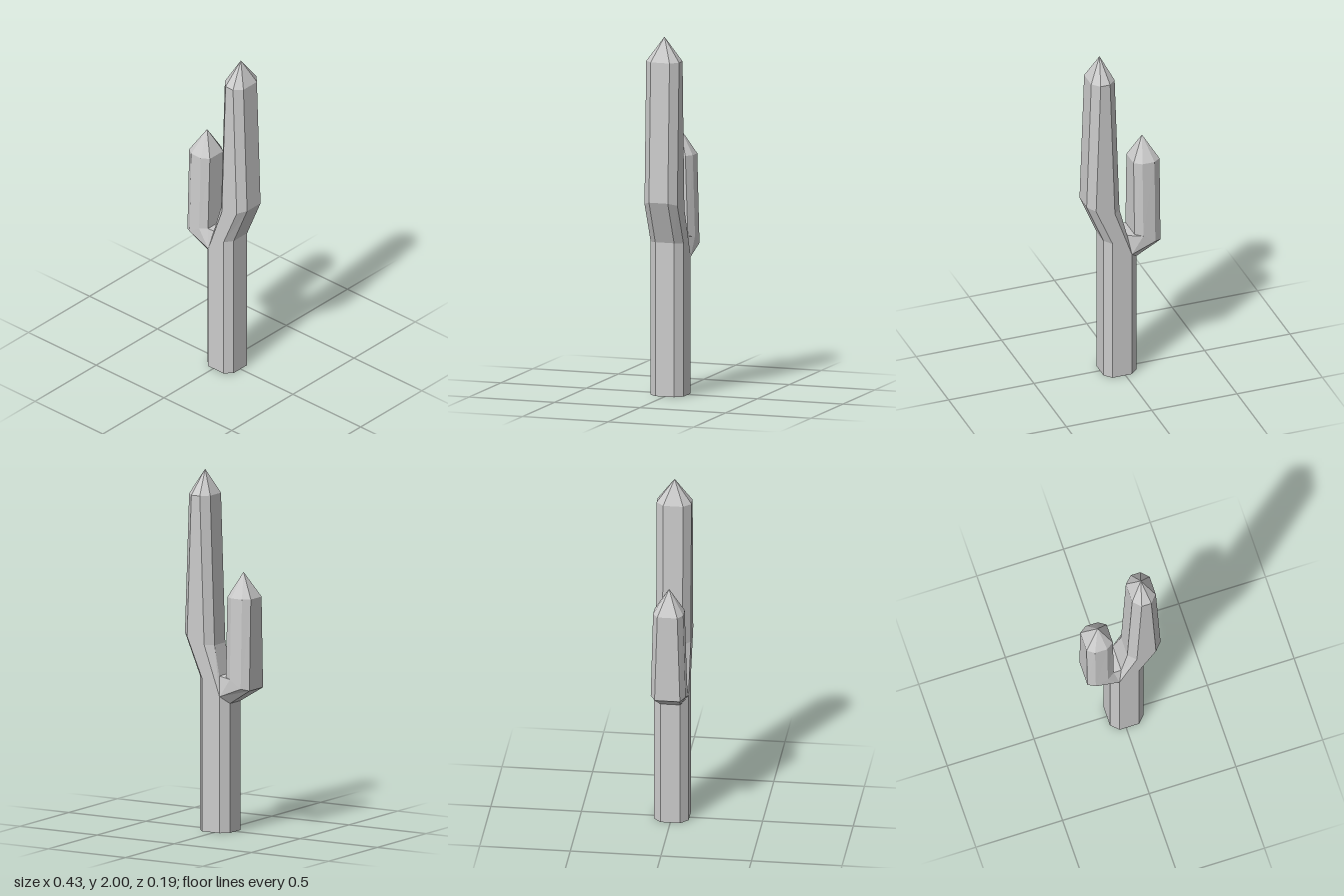
import * as THREE from 'three';

const material = new THREE.MeshStandardMaterial({
  color: 0xcccccc, flatShading: true, side: THREE.DoubleSide,
});

// Eight-sided ring from its four front corners (left to right), mirrored in z
function ring(corners) {
  const front = corners.map(([x, y, z]) => new THREE.Vector3(x, y, z));
  const back = corners.map(([x, y, z]) => new THREE.Vector3(x, y, -z)).reverse();
  return [...front, ...back];
}

// Skin over successive rings; an optional apex closes the top with a cone
function loft(name, rings, apex) {
  const loops = rings.map(ring);
  if (apex) loops.push(Array(8).fill(new THREE.Vector3(...apex)));
  const positions = [];
  const triangle = (a, b, c) => {
    if (new THREE.Triangle(a, b, c).getArea() < 1e-7) return;
    for (const p of [a, b, c]) positions.push(p.x, p.y, p.z);
  };
  for (let r = 0; r < loops.length - 1; r++) {
    const low = loops[r], high = loops[r + 1];
    for (let i = 0; i < 8; i++) {
      const j = (i + 1) % 8;
      triangle(low[i], low[j], high[j]);
      triangle(low[i], high[j], high[i]);
    }
  }
  const geometry = new THREE.BufferGeometry();
  geometry.setAttribute('position', new THREE.Float32BufferAttribute(positions, 3));
  geometry.computeVertexNormals();
  const mesh = new THREE.Mesh(geometry, material);
  mesh.name = name;
  return mesh;
}

export function createModel() {
  const cactus = new THREE.Group();
  cactus.name = 'cactus';

  // Corners shared where trunk, stem and arm meet
  const crotchLow = [-0.08, 0.72, 0.055];
  const crotchSide = [-0.038, 0.76, 0.096];
  const saddle = [-0.02, 0.87, 0.07];
  const shoulder = [[0.075, 0.85, 0.096], [0.113, 0.855, 0.055]];

  // Trunk, open underneath
  cactus.add(loft('trunk', [
    [[-0.08, 0, 0.055], [-0.038, 0, 0.096], [0.075, 0, 0.096], [0.113, 0, 0.055]],
    [crotchLow, crotchSide, ...shoulder],
  ]));

  // Tall stem leaning out, then tapering to a point
  cactus.add(loft('mainStem', [
    [saddle, crotchSide, ...shoulder],
    [[0.02, 1.035, 0.055], [0.062, 1.04, 0.096], [0.172, 1.075, 0.096], [0.212, 1.09, 0.055]],
    [[0.048, 1.865, 0.055], [0.09, 1.865, 0.096], [0.145, 1.865, 0.096], [0.185, 1.865, 0.055]],
  ], [0.116, 2, 0]));

  // Side arm with its elbow
  cactus.add(loft('sideArm', [
    [crotchLow, crotchSide, crotchSide, saddle],
    [[-0.215, 0.805, 0.07], [-0.175, 0.815, 0.096], [-0.105, 0.862, 0.096], [-0.063, 0.868, 0.07]],
    [[-0.215, 1.312, 0.055], [-0.175, 1.312, 0.083], [-0.105, 1.312, 0.083], [-0.063, 1.312, 0.055]],
  ], [-0.133, 1.45, 0]));

  return cactus;
}
